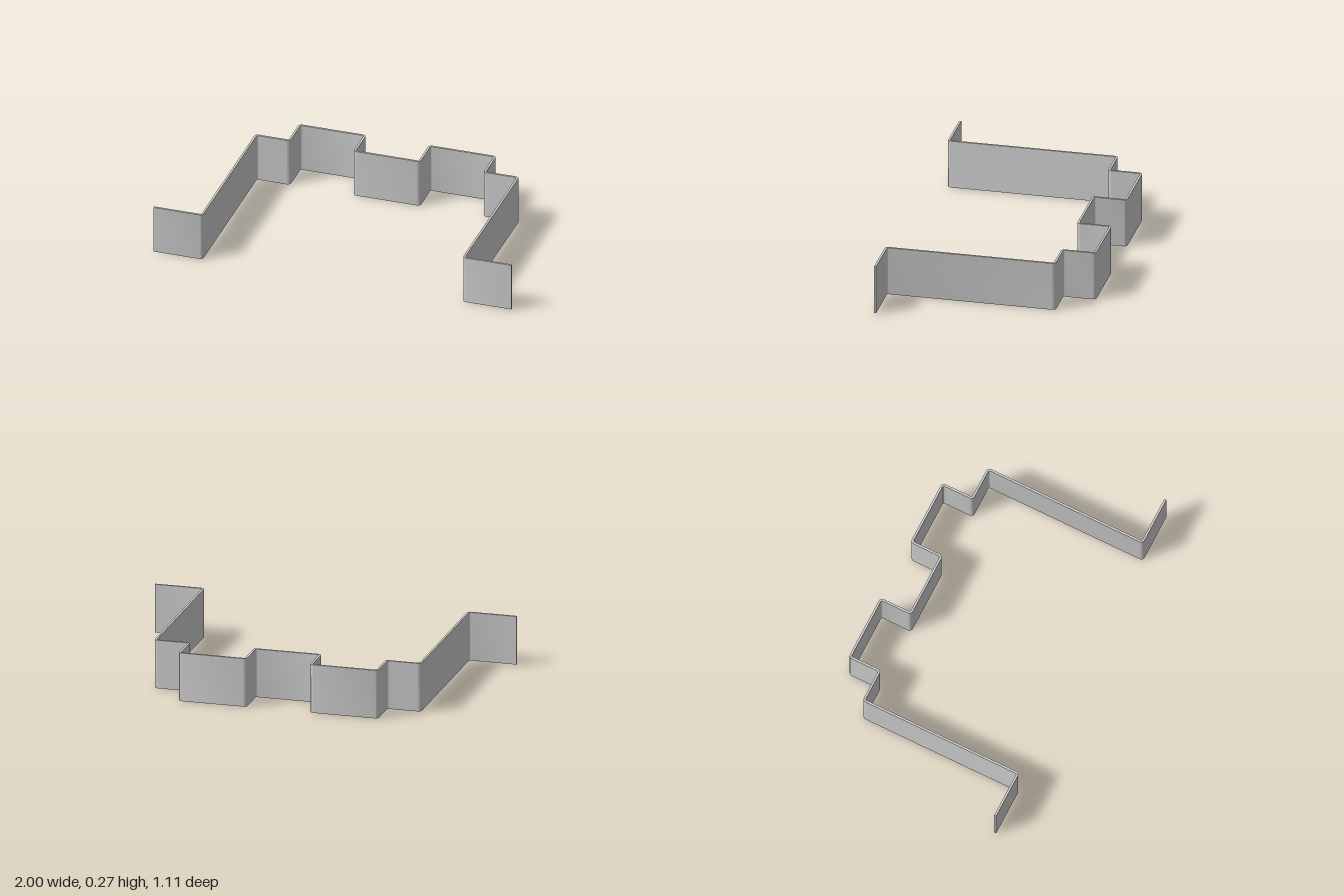
import * as THREE from 'three';
import { toCreasedNormals } from 'three/addons/utils/BufferGeometryUtils.js';

const THICKNESS = 0.012;
const HEIGHT = 0.268;
const BEND_RADIUS = 0.014; // measured at the middle of the sheet
const BEND_STEPS = 6;

// Right half of the bent strip's centreline as (x, -z); the other half is mirrored
const half = [[-1, -0.547], [-0.732, -0.547], [-0.732, 0.37], [-0.546, 0.37],
  [-0.546, 0.547], [-0.181, 0.547], [-0.181, 0.37]];

// Outline of the strip: follow the centreline, rounding each right-angle bend
function stripShape(corners) {
  const left = [], right = [];
  const add = (p, tangent) => {
    const n = new THREE.Vector2(-tangent.y, tangent.x).multiplyScalar(THICKNESS / 2);
    left.push(p.clone().add(n));
    right.unshift(p.clone().sub(n));
  };
  const direction = i => corners[i + 1].clone().sub(corners[i]).normalize();
  const last = corners.length - 1;

  add(corners[0], direction(0));
  for (let i = 1; i < last; i++) {
    const d1 = direction(i - 1), d2 = direction(i);
    const centre = corners[i].clone()
      .addScaledVector(d1, -BEND_RADIUS).addScaledVector(d2, BEND_RADIUS);
    for (let k = 0; k <= BEND_STEPS; k++) {
      const a = (k / BEND_STEPS) * Math.PI / 2, c = Math.cos(a), s = Math.sin(a);
      const p = centre.clone()
        .addScaledVector(d1, BEND_RADIUS * s).addScaledVector(d2, -BEND_RADIUS * c);
      add(p, d1.clone().multiplyScalar(c).addScaledVector(d2, s));
    }
  }
  add(corners[last], direction(last - 1));
  return new THREE.Shape([...left, ...right]);
}

export function createModel() {
  const corners = [...half, ...half.map(([x, y]) => [-x, y]).reverse()]
    .map(([x, y]) => new THREE.Vector2(x, y));

  const geometry = new THREE.ExtrudeGeometry(stripShape(corners), {
    depth: HEIGHT, bevelEnabled: false, steps: 1,
  });
  geometry.rotateX(-Math.PI / 2);

  // The strip rises very slightly towards the front
  const pos = geometry.attributes.position;
  for (let i = 0; i < pos.count; i++) {
    pos.setY(i, pos.getY(i) + 0.003 * (pos.getZ(i) + 0.553));
  }

  const strip = new THREE.Mesh(
    toCreasedNormals(geometry, Math.PI / 6),
    new THREE.MeshStandardMaterial({ color: 0xcccccc }),
  );
  strip.name = 'bentStrip';

  const model = new THREE.Group();
  model.name = 'bracket';
  model.add(strip);
  return model;
}
